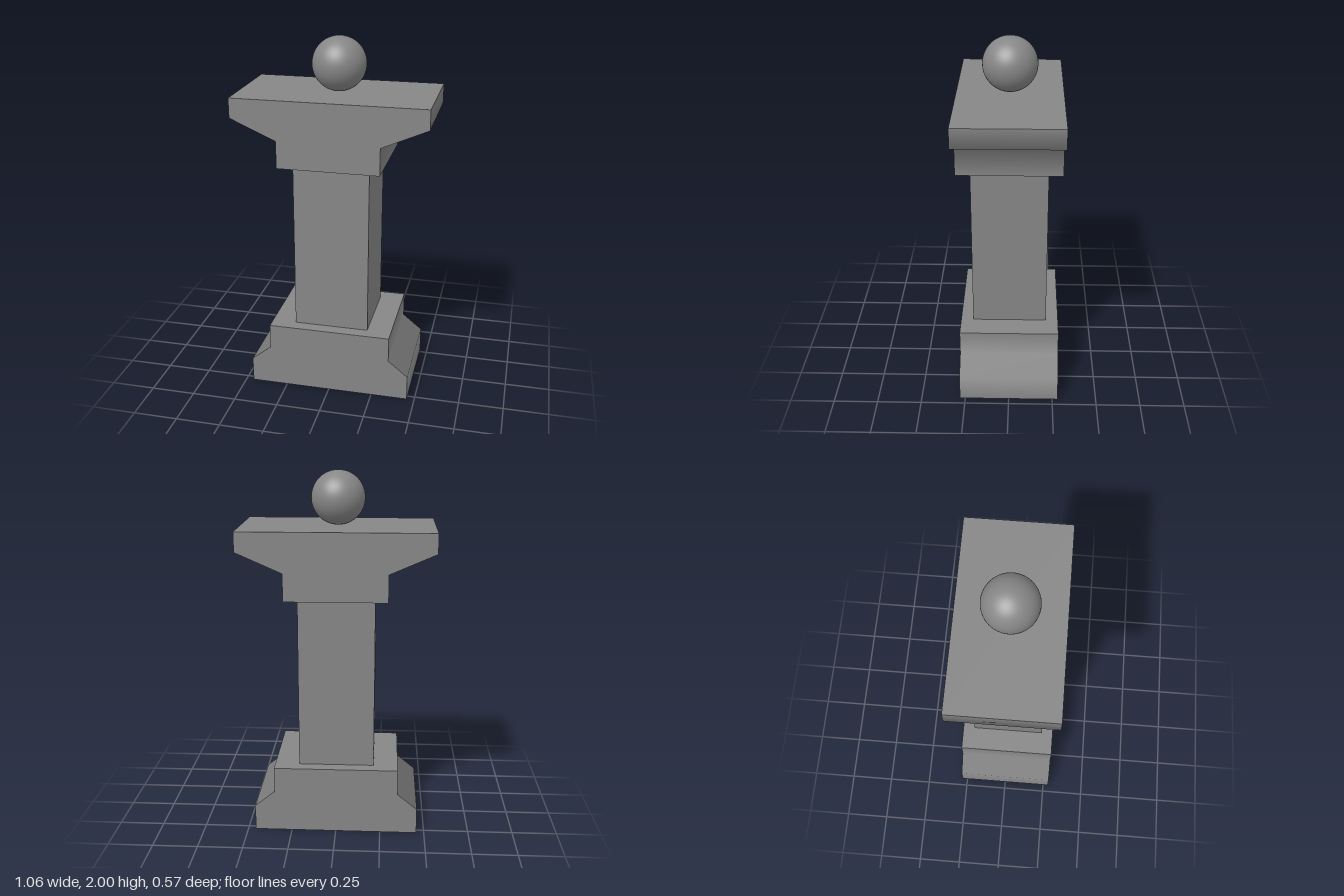
import * as THREE from 'three';

const material = new THREE.MeshStandardMaterial({ color: 0x868686 });

function addPart(group, name, geometry, y = 0) {
  const mesh = new THREE.Mesh(geometry, material);
  mesh.name = name;
  mesh.position.y = y;
  group.add(mesh);
}

// Blends the distinct face normals that meet at each corner, counting every face once.
// Corners of about 90 degrees stay sharp.
function blendShoulders(geometry) {
  const { position, normal } = geometry.attributes;
  const read = (attribute, i) => new THREE.Vector3().fromBufferAttribute(attribute, i);
  const corners = Array.from({ length: position.count }, (_, i) => ({ p: read(position, i), n: read(normal, i) }));
  corners.forEach(({ p, n }, i) => {
    const faces = [];
    for (const other of corners) {
      const meets = other.p.distanceTo(p) < 1e-4 && other.n.dot(n) > 0.25;
      if (meets && !faces.some((f) => f.dot(other.n) > 0.999)) faces.push(other.n);
    }
    const sum = faces.reduce((total, f) => total.add(f), new THREE.Vector3()).normalize();
    normal.setXYZ(i, sum.x, sum.y, sum.z);
  });
  return geometry;
}

// Mirrors a right-hand outline of [x, y] points (bottom to top) and extrudes it along z.
function moulding(outline, depth) {
  const mirrored = outline.map(([x, y]) => [-x, y]).reverse();
  const shape = new THREE.Shape([...outline, ...mirrored].map(([x, y]) => new THREE.Vector2(x, y)));
  const geometry = new THREE.ExtrudeGeometry(shape, { depth, bevelEnabled: false });
  geometry.translate(0, 0, -depth / 2);
  return blendShoulders(geometry);
}

export function createModel() {
  const group = new THREE.Group();
  group.name = 'pedestal';

  // Stepped foot with sloped shoulders
  addPart(group, 'base', moulding([[0.457, 0], [0.457, 0.145], [0.346, 0.235], [0.346, 0.378]], 0.56));

  // Square shaft
  addPart(group, 'shaft', new THREE.BoxGeometry(0.42, 0.958, 0.42), 0.857);

  // Flared top block
  addPart(group, 'capital', moulding([[0.279, 1.336], [0.279, 1.487], [0.53, 1.597], [0.53, 1.705]], 0.57));

  // Ball resting on the capital
  addPart(group, 'ball', new THREE.SphereGeometry(0.147, 48, 32), 1.853);

  return group;
}
